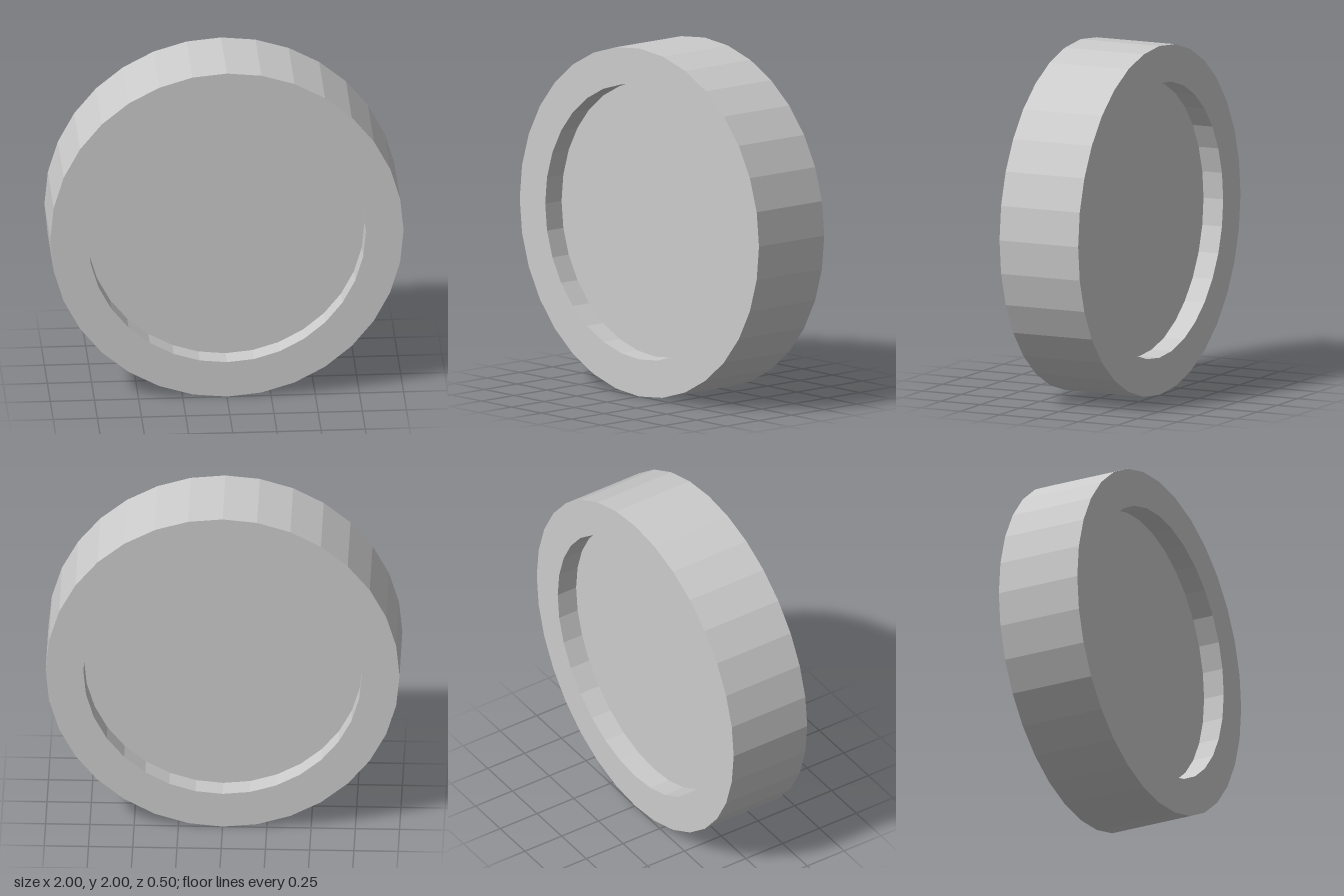
import * as THREE from 'three';

const SIDES = 32;
const OUTER = 1, INNER = 0.787;
const HALF_DEPTH = 0.25, HALF_PLATE = 0.125;

export function createModel() {
  const group = new THREE.Group();
  group.name = 'recessedDisc';
  const material = new THREE.MeshStandardMaterial({ color: 0xcccccc, flatShading: true });

  // Rim: recess wall, back face, outer wall, front face, recess wall
  const profile = [
    [INNER, -HALF_PLATE], [INNER, -HALF_DEPTH], [OUTER, -HALF_DEPTH],
    [OUTER, HALF_DEPTH], [INNER, HALF_DEPTH], [INNER, HALF_PLATE],
  ].map(([r, d]) => new THREE.Vector2(r, d));
  const rim = new THREE.Mesh(new THREE.LatheGeometry(profile, SIDES), material);
  rim.name = 'rim';
  rim.rotation.x = Math.PI / 2;
  rim.position.y = OUTER;
  group.add(rim);

  // Sunken plate faces, one on each side
  for (const side of [1, -1]) {
    const face = new THREE.Mesh(new THREE.CircleGeometry(INNER, SIDES), material);
    face.name = side > 0 ? 'frontPlate' : 'backPlate';
    face.position.set(0, OUTER, side * HALF_PLATE);
    if (side < 0) face.rotation.y = Math.PI;
    group.add(face);
  }
  return group;
}
